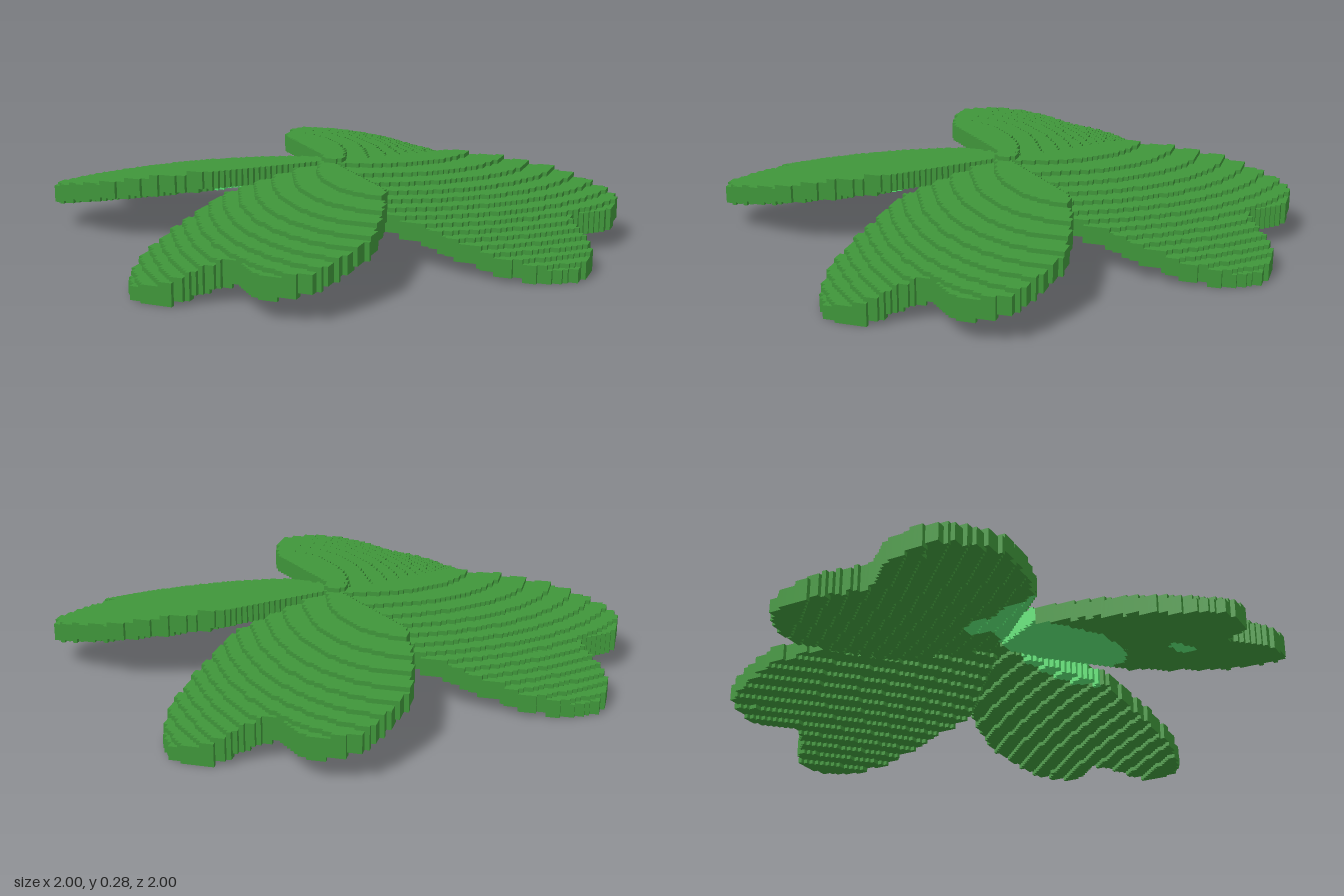
import * as THREE from 'three';

const V = 1 / 64; // voxel size
const N = 64; // half the grid, in voxels

const green = new THREE.MeshStandardMaterial({ color: 0x3f963a });
green.name = 'leaf green';
const light = new THREE.MeshStandardMaterial({ color: 0x58e070 });
light.name = 'light green';

// Petal outline: u runs across, r runs outwards, with a notch at the tip
const outline = new THREE.SplineCurve([
  [-0.31, 0.27], [-0.33, 0.45], [-0.36, 0.6], [-0.37, 0.75], [-0.35, 0.86], [-0.31, 0.95],
  [-0.26, 0.99], [-0.13, 0.99], [-0.06, 0.93], [0.02, 0.89], [0.08, 0.93], [0.15, 0.99],
  [0.29, 0.99], [0.34, 0.95], [0.385, 0.85], [0.415, 0.74], [0.41, 0.65], [0.38, 0.5],
  [0.34, 0.38], [0.31, 0.27],
].map(([u, r]) => new THREE.Vector2(u, r))).getPoints(90);
outline.push(new THREE.Vector2(0, -0.06));

function inOutline(u, r) {
  let inside = false;
  outline.forEach((a, i) => {
    const b = outline[(i + 1) % outline.length];
    if ((a.y > r) !== (b.y > r) && u < a.x + ((r - a.y) * (b.x - a.x)) / (b.y - a.y)) inside = !inside;
  });
  return inside;
}

// Petals are twisted so that one edge hangs lower: domed above, flatter below
const upper = (u, r) => 0.264 - 0.03 * r - 0.12 * r * r + (0.14 + 0.05 * r) * u - 0.23 * u * u;
const lower = (u, r) => 0.22 - 0.19 * r + (0.12 + 0.06 * r) * u;

// Pale patches on the underside: x, z, half width, half depth
const patches = [[-0.03, 0.27, 0.32, 0.22], [-0.265, 0.08, 0.07, 0.07], [0.08, 0.69, 0.06, 0.04]];
const isPale = (x, z) => patches.some(([px, pz, a, b]) => Math.hypot((x - px) / a, (z - pz) / b) < 1);

// One voxel column: which petal it belongs to, bottom layer and top layer
function makeColumn(i, j) {
  const x = (i + 0.5) * V, z = (j + 0.5) * V;
  const turns = [[x, z], [-z, x], [-x, -z], [z, -x]];
  for (let petal = 0; petal < 4; petal++) {
    const [u, r] = turns[petal];
    if (r <= 0 || u >= r || u < -r || !inOutline(u, r)) continue;
    const top = Math.max(3, Math.min(17, Math.round(upper(u, r) / V)));
    const bottom = Math.max(0, Math.min(top - 3, Math.round(lower(u, r) / V)));
    return { i, j, petal, top, bottom, pale: isPale(x, z) };
  }
  return null;
}

// Collects quads for the two colours of a petal
class Quads {
  constructor() { this.sets = [[], []]; }
  add(pale, a, b, c, d) {
    for (const p of [a, b, c, a, c, d]) this.sets[pale ? 1 : 0].push(p[0] * V, p[1] * V, p[2] * V);
  }
  mesh(name) {
    const g = new THREE.BufferGeometry();
    const [a, b] = this.sets;
    g.setAttribute('position', new THREE.Float32BufferAttribute(a.concat(b), 3));
    g.addGroup(0, a.length / 3, 0);
    if (b.length) g.addGroup(a.length / 3, b.length / 3, 1);
    g.computeVertexNormals();
    const m = new THREE.Mesh(g, [green, light]);
    m.name = name;
    return m;
  }
}

export function createModel() {
  const group = new THREE.Group();
  group.name = 'fourPetalFoliage';

  const columns = new Map();
  const key = (i, j) => i * 1000 + j;
  for (let i = -N; i < N; i++) {
    for (let j = -N; j < N; j++) {
      const c = makeColumn(i, j);
      if (c) columns.set(key(i, j), c);
    }
  }

  const petals = [new Quads(), new Quads(), new Quads(), new Quads()];
  for (const { i, j, petal, top, bottom, pale } of columns.values()) {
    const q = petals[petal];
    const I = i + 1, J = j + 1;
    q.add(false, [i, top, J], [I, top, J], [I, top, j], [i, top, j]);
    q.add(pale, [i, bottom, j], [I, bottom, j], [I, bottom, J], [i, bottom, J]);

    // Side walls, only where the neighbouring column leaves them open
    const sides = [
      [1, 0, [I, J], [I, j]], [-1, 0, [i, j], [i, J]],
      [0, 1, [i, J], [I, J]], [0, -1, [I, j], [i, j]],
    ];
    for (const [di, dj, a, b] of sides) {
      const wall = (isPaleWall, lo, hi) => {
        if (hi > lo) q.add(isPaleWall, [a[0], lo, a[1]], [b[0], lo, b[1]], [b[0], hi, b[1]], [a[0], hi, a[1]]);
      };
      const n = columns.get(key(i + di, j + dj));
      if (!n) wall(false, bottom, top);
      else {
        wall(pale, bottom, Math.min(top, n.bottom));
        wall(false, Math.max(bottom, n.top), top);
      }
    }
  }
  ['frontPetal', 'leftPetal', 'backPetal', 'rightPetal'].forEach((name, k) => group.add(petals[k].mesh(name)));

  // Small raised hub in the middle, a square with its corners cut
  const hub = new THREE.Group();
  hub.name = 'hub';
  for (const [w, d] of [[5, 3], [3, 5]]) {
    const bar = new THREE.Mesh(new THREE.BoxGeometry(w * V, 2 * V, d * V), green);
    bar.name = 'hubBar';
    bar.position.set(V / 2, 17 * V, 0);
    hub.add(bar);
  }
  group.add(hub);

  return group;
}
